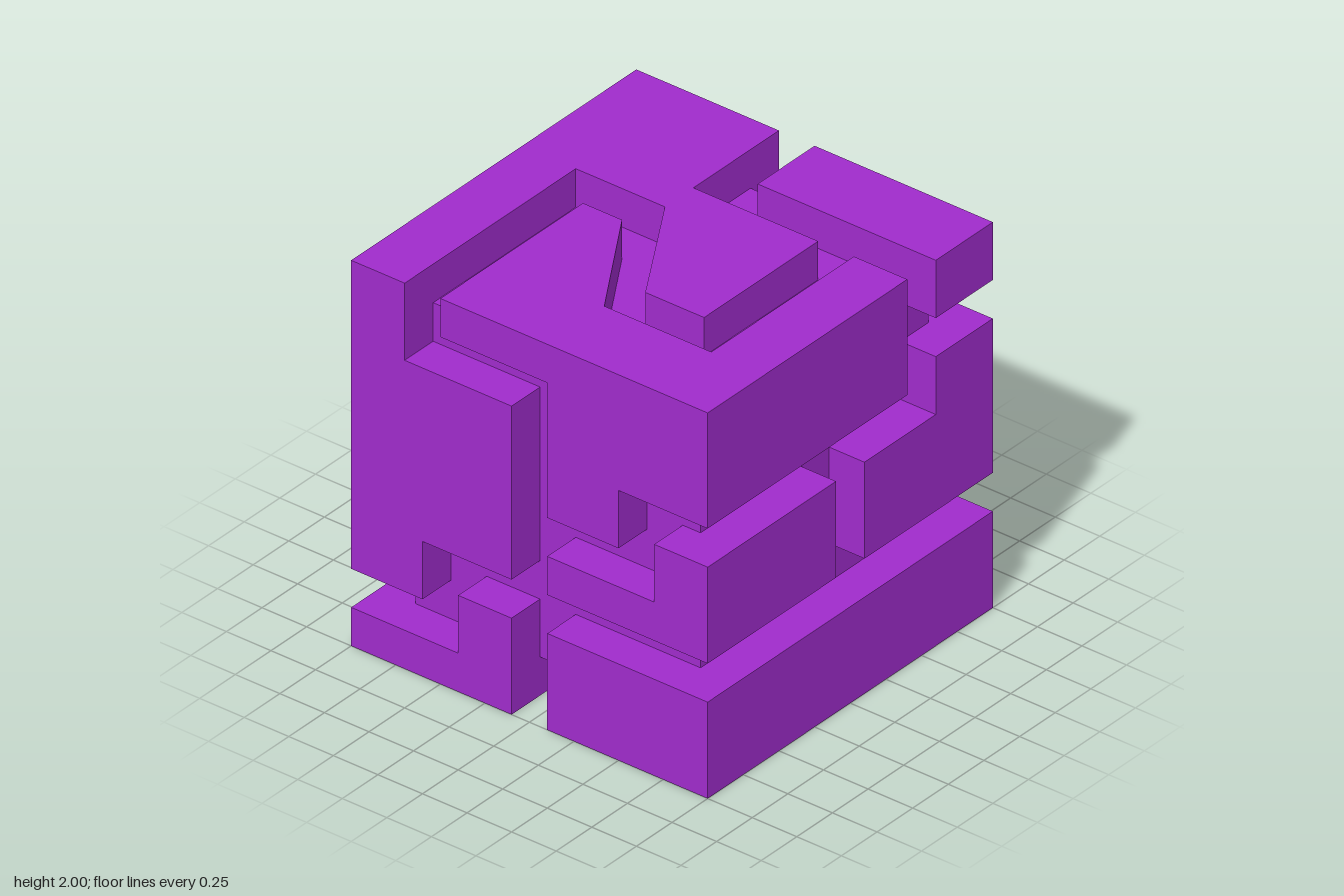
import * as THREE from 'three';

const DEPTH = 0.2; // groove depth = panel thickness

// Raised panels of each face, as flat [a, b, a, b, ...] outlines
// front/back use (x, y), right/left use (z, y), top/bottom use (x, z)
const FACES = {
  front: { a: [1, 0, 0], b: [0, 1, 0], start: [0, 0, 0.8], panels: [
    [-1, 2, -0.7, 2, -0.7, 1.6, -0.1, 1.6, -0.1, 0.7, -0.6, 0.7, -0.6, 0.4, -1, 0.4],
    [-0.5, 2, 1, 2, 1, 1.4, 0.5, 1.4, 0.5, 1.1, 0.1, 1.1, 0.1, 1.8, -0.5, 1.8],
    [1, 1.2, 0.7, 1.2, 0.7, 0.9, 0.1, 0.9, 0.1, 0.7, 1, 0.7],
    [0.1, 0, 0.1, 0.5, 1, 0.5, 1, 0],
    [-1, 0, -1, 0.2, -0.4, 0.2, -0.4, 0.5, -0.1, 0.5, -0.1, 0],
  ] },
  back: { a: [1, 0, 0], b: [0, 1, 0], start: [0, 0, -1], panels: [
    [0, 2, 1, 2, 1, 1.7, 0, 1.7],
    [0, 1.5, 1, 1.5, 1, 0.7, 0, 0.7],
    [-0.4, 0.5, 1, 0.5, 1, 0, -0.4, 0],
    [-1, 2, -0.2, 2, -0.2, 0.7, -0.6, 0.7, -0.6, 1.3, -0.5, 1.3, -0.5, 1.1, -0.3, 1.1,
      -0.3, 1.5, -0.8, 1.5, -0.8, 0.5, -0.6, 0.5, -0.6, 0.4, -1, 0.4],
    [-1, 0.2, -0.6, 0.2, -0.6, 0, -1, 0],
  ] },
  plusX: { a: [0, 0, 1], b: [0, 1, 0], start: [1, 0, 0], panels: [
    [1, 2, -0.4, 2, -0.4, 1.4, 1, 1.4],
    [1, 1.2, 0.1, 1.2, 0.1, 0.7, 1, 0.7],
    [-1, 2, -0.6, 2, -0.6, 1.7, -1, 1.7],
    [-1, 1.5, -0.6, 1.5, -0.6, 1.2, -0.1, 1.2, -0.1, 0.7, -1, 0.7],
    [1, 0.5, -1, 0.5, -1, 0, 1, 0],
  ] },
  minusX: { a: [0, 0, 1], b: [0, 1, 0], start: [-0.8, 0, 0], panels: [
    [-1, 2, 1, 2, 1, 0.4, 0.4, 0.4, 0.4, 0.8, 0.8, 0.8, 0.8, 1.6, -0.6, 1.6,
      -0.6, 0.8, -0.4, 0.8, -0.4, 0.4, -1, 0.4],
    [-0.4, 1.4, 0.6, 1.4, 0.6, 1, 0.2, 1, 0.2, 0.2, 1, 0.2, 1, 0, 0, 0,
      0, 0.4, -0.2, 0.4, -0.2, 1, -0.4, 1],
    [-1, 0.2, -0.2, 0.2, -0.2, 0, -1, 0],
  ] },
  top: { a: [1, 0, 0], b: [0, 0, 1], start: [0, 2, 0], panels: [
    [-1, -1, -0.2, -1, -0.2, -0.4, 0.5, -0.4, 0.5, 0.4, 0.17, 0.4, -0.2, -0.2,
      -0.7, -0.2, -0.7, 1, -1, 1],
    [0, -1, 0, -0.6, 1, -0.6, 1, -1],
    [1, -0.4, 0.7, -0.4, 0.7, 0.6, 0.1, 0.6, -0.28, 0, -0.5, 0, -0.5, 1, 1, 1],
  ] },
  bottom: { a: [1, 0, 0], b: [0, 0, 1], start: [0, 0.2, 0], panels: [
    [1, -1, -0.4, -1, -0.4, -0.2, 0.4, -0.2, 0.4, -0.6, 0.2, -0.6, 0.2, -0.8,
      0.6, -0.8, 0.6, 0, 0.1, 0, 0.1, 1, 1, 1],
    [-1, 0, -0.1, 0, -0.1, 1, -1, 1],
    [-1, -1, -0.6, -1, -0.6, -0.2, -1, -0.2],
  ] },
};

function panelGeometry(outline) {
  const points = [];
  for (let i = 0; i < outline.length; i += 2) points.push(new THREE.Vector2(outline[i], outline[i + 1]));
  return new THREE.ExtrudeGeometry(new THREE.Shape(points), { depth: DEPTH, bevelEnabled: false });
}

export function createModel() {
  const model = new THREE.Group();
  model.name = 'groovedCube';
  const material = new THREE.MeshStandardMaterial({ color: 0xa02ccc });

  // Inner cube: the floor of all grooves
  const size = 2 - 2 * DEPTH;
  const core = new THREE.Mesh(new THREE.BoxGeometry(size, size, size), material);
  core.name = 'core';
  core.position.y = 1;
  model.add(core);

  // Raised panels, extruded along a x b from each face's start plane
  for (const [name, face] of Object.entries(FACES)) {
    const group = new THREE.Group();
    group.name = name + 'Panels';
    const a = new THREE.Vector3(...face.a);
    const b = new THREE.Vector3(...face.b);
    const frame = new THREE.Matrix4()
      .makeBasis(a, b, a.clone().cross(b))
      .setPosition(...face.start);
    face.panels.forEach((outline, i) => {
      const panel = new THREE.Mesh(panelGeometry(outline).applyMatrix4(frame), material);
      panel.name = name + 'Panel' + (i + 1);
      group.add(panel);
    });
    model.add(group);
  }
  return model;
}
